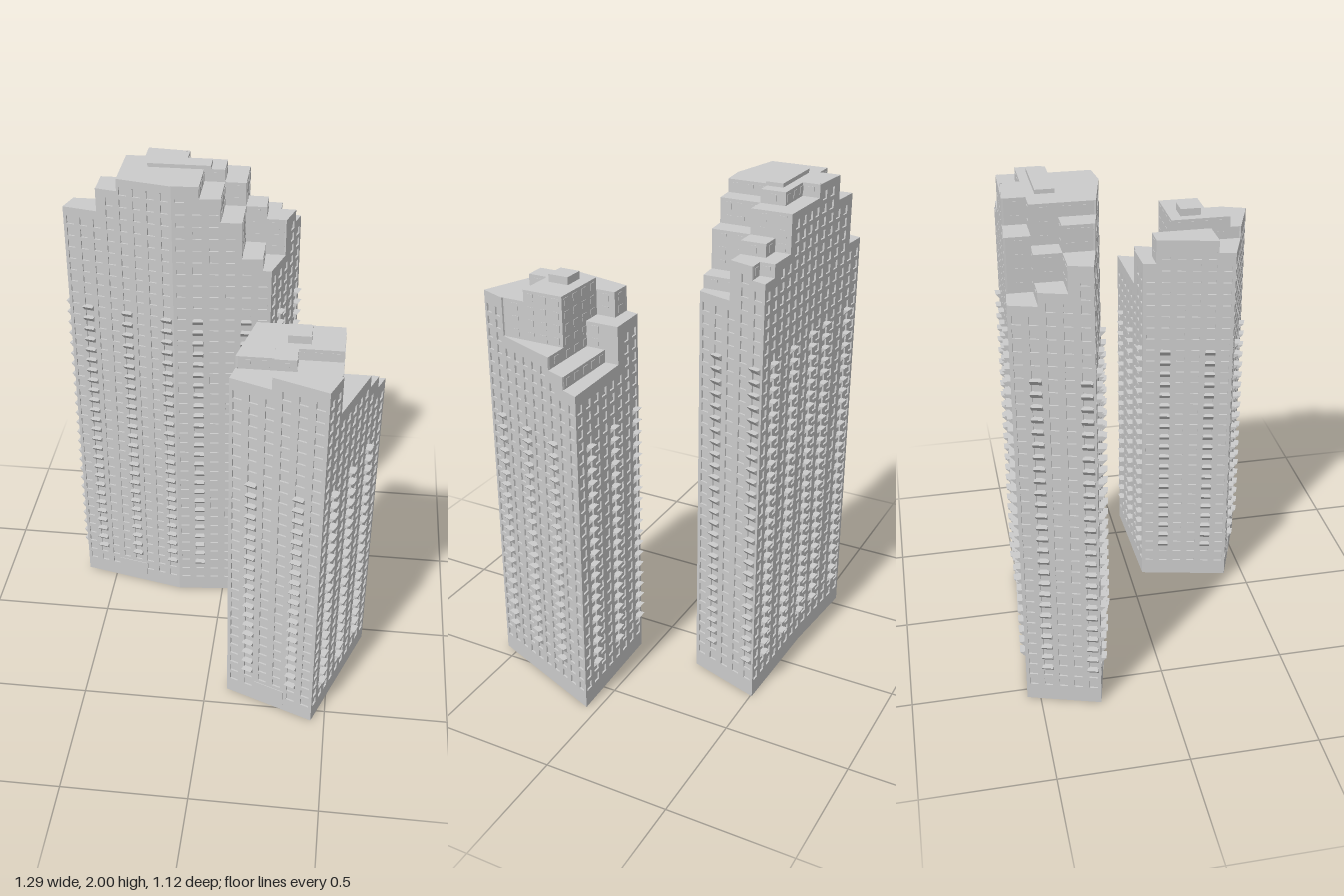
import * as THREE from 'three';
import { mergeGeometries } from 'three/addons/utils/BufferGeometryUtils.js';

const mat = new THREE.MeshStandardMaterial({ color: 0xcccccc, flatShading: true });
const FLOOR = 0.05, FIRST = 0.07, WIN_H = 0.033, RECESS = 0.007, SKIN = 0.009;

// footprint: [x, z] corners, front first; roof: rows [zMin, zMax, [[xMax, height], ...]]
const backTower = {
  name: 'backTower', balconyFloors: 27, doorSide: 0,
  footprint: [[-0.633, -0.27], [-0.196, -0.177], [0.185, -0.211], [0.276, -0.506], [-0.18, -0.519], [-0.546, -0.551]],
  columns: [8, 6, 5, 8, 6, 5],
  roof: [
    [-0.352, 9, [[-0.494, 1.84], [-0.41, 1.935], [-0.092, 1.985], [-0.012, 1.935], [0.07, 1.84], [0.15, 1.69], [9, 1.64]]],
    [-0.45, -0.352, [[-0.494, 1.74], [-0.41, 1.84], [-0.012, 1.985], [0.07, 1.935], [0.15, 1.84], [9, 1.79]]],
    [-9, -0.45, [[-0.45, 1.69], [-0.334, 1.89], [-0.168, 1.985], [0.07, 1.935], [0.2, 1.79], [9, 1.74]]],
  ],
  cap: [-0.31, -0.066, -0.416, -0.347, 1.985, 2.0],
};
const frontTower = {
  name: 'frontTower', balconyFloors: 21, doorSide: 0,
  footprint: [[0.088, 0.419], [0.445, 0.555], [0.643, 0.045], [0.168, 0.059]],
  columns: [6, 10, 8, 6],
  roof: [
    [0.433, 9, [[0.244, 1.55], [0.483, 1.6], [9, 1.45]]],
    [0.354, 0.433, [[0.244, 1.55], [0.324, 1.645], [0.483, 1.6], [9, 1.45]]],
    [0.19, 0.354, [[0.244, 1.6], [0.483, 1.645], [9, 1.45]]],
    [0.111, 0.19, [[0.244, 1.6], [0.324, 1.5], [9, 1.4]]],
    [-9, 0.111, [[0.324, 1.5], [9, 1.35]]],
  ],
  cap: [0.283, 0.366, 0.236, 0.319, 1.645, 1.675],
};

function addMesh(group, geometry, name) {
  const mesh = new THREE.Mesh(geometry, mat);
  mesh.name = name;
  group.add(mesh);
  return mesh;
}

function box(x0, x1, y0, y1, z0, z1) {
  return new THREE.BoxGeometry(x1 - x0, y1 - y0, z1 - z0)
    .translate((x0 + x1) / 2, (y0 + y1) / 2, (z0 + z1) / 2);
}

function heightAt(roof, x, z) {
  const row = roof.find(([z0, z1]) => z >= z0 && z < z1);
  return row[2].find(([xMax]) => x < xMax)[1];
}

// Keep the part of a polygon where sign * p[axis] <= sign * limit
function clip(poly, axis, limit, sign) {
  const out = [];
  poly.forEach((a, i) => {
    const b = poly[(i + 1) % poly.length];
    const da = sign * (a[axis] - limit), db = sign * (b[axis] - limit);
    if (da <= 0) out.push(a);
    if (da * db < 0) {
      const t = da / (da - db);
      out.push([a[0] + (b[0] - a[0]) * t, a[1] + (b[1] - a[1]) * t]);
    }
  });
  return out;
}

// Direction, outward normal and length of a footprint side
function side(poly, i) {
  const a = poly[i], b = poly[(i + 1) % poly.length];
  const L = Math.hypot(b[0] - a[0], b[1] - a[1]);
  const dx = (b[0] - a[0]) / L, dz = (b[1] - a[1]) / L;
  return { a, b, L, dx, dz, nx: -dz, nz: dx };
}

// Move every side inwards by d
function inset(poly, d) {
  return poly.map((p, i) => {
    const u = side(poly, (i + poly.length - 1) % poly.length), v = side(poly, i);
    const k = d / (1 + u.nx * v.nx + u.nz * v.nz);
    return [p[0] - k * (u.nx + v.nx), p[1] - k * (u.nz + v.nz)];
  });
}

function prism(poly, height) {
  const shape = new THREE.Shape(poly.map(([x, z]) => new THREE.Vector2(x, -z)));
  return new THREE.ExtrudeGeometry(shape, { depth: height, bevelEnabled: false }).rotateX(-Math.PI / 2);
}

// Balcony: flat top with a sloping underside
function balcony(s, y, w) {
  const shape = new THREE.Shape([[0, -0.022], [0.02, 0], [0, 0]].map(p => new THREE.Vector2(...p)));
  return new THREE.ExtrudeGeometry(shape, { depth: w, bevelEnabled: false })
    .rotateY(-Math.PI / 2).translate(s + w / 2, y, 0);
}

function buildFacade(t, i) {
  const { a, L, dx, dz, nx, nz } = side(t.footprint, i);
  const facade = new THREE.Group();
  facade.name = 'facade' + (i + 1);
  facade.position.set(a[0], 0, a[1]);
  facade.rotation.y = Math.atan2(-dz, dx);
  const top = s => heightAt(t.roof, a[0] + dx * s - nx * 0.004, a[1] + dz * s - nz * 0.004);

  // Stepped wall outline
  const outline = [[0, 0], [L, 0]], N = 300;
  let h = top(L);
  outline.push([L, h]);
  for (let k = N - 1; k >= 0; k--) {
    const s = L * (k + 0.5) / N, next = top(s);
    if (next !== h) {
      outline.push([s, h], [s, next]);
      h = next;
    }
  }
  outline.push([0, h]);
  const wall = new THREE.Shape(outline.map(p => new THREE.Vector2(...p)));

  // Window openings, with a balcony on every third column
  const pitch = L / t.columns[i], w = pitch * 0.55, balconies = [];
  const hasDoor = i === t.doorSide;
  for (let c = 0; c < t.columns[i]; c++) {
    const s = (c + 0.5) * pitch, x0 = s - w / 2, x1 = s + w / 2;
    const limit = Math.min(top(x0 - 0.004), top(x1 + 0.004)) - 0.008;
    for (let k = 0; FIRST + k * FLOOR + WIN_H < limit; k++) {
      const y = FIRST + k * FLOOR;
      if (hasDoor && k === 0 && Math.abs(s - L / 2) < 0.066 + w / 2) continue;
      wall.holes.push(new THREE.Path([[x0, y], [x0, y + WIN_H], [x1, y + WIN_H], [x1, y]]
        .map(p => new THREE.Vector2(...p))));
      if (c % 3 === 1 && k >= 2 && k <= t.balconyFloors) balconies.push(balcony(s, y, 0.042));
    }
  }
  const skin = new THREE.ExtrudeGeometry(wall, { depth: SKIN, bevelEnabled: false }).translate(0, 0, -SKIN);
  // Mitre the inner face at the corners
  const p = skin.attributes.position;
  for (let v = 0; v < p.count; v++) {
    if (p.getZ(v) < -SKIN / 2) p.setX(v, THREE.MathUtils.clamp(p.getX(v), 0.004, L - 0.004));
  }
  skin.computeVertexNormals();
  addMesh(facade, skin, 'windowWall');
  if (balconies.length) addMesh(facade, mergeGeometries(balconies), 'balconies');
  if (hasDoor) addMesh(facade, box(L / 2 - 0.065, L / 2 + 0.065, 0.03, 0.105, -SKIN, 0.003), 'entrance');
  return facade;
}

function buildTower(t) {
  const tower = new THREE.Group();
  tower.name = t.name;
  const core = inset(t.footprint, RECESS), blocks = [], panes = [];

  // Roof blocks of different heights
  for (const [z0, z1, cells] of t.roof) {
    let x0 = -9;
    for (const [x1, h] of cells) {
      let poly = clip(clip(core, 0, x0, -1), 0, x1, 1);
      poly = clip(clip(poly, 1, z0, -1), 1, z1, 1);
      x0 = x1;
      if (poly.length < 3) continue;
      blocks.push(prism(poly, h));
      // Windows on the walls above lower terraces
      poly.forEach((_, i) => {
        const e = side(poly, i);
        if (Math.abs(e.dx) < 0.9999 && Math.abs(e.dz) < 0.9999) return;
        const n = Math.floor(e.L / 0.05);
        for (let c = 0; c < n; c++) {
          const s = (c + 0.5) * e.L / n, x = e.a[0] + e.dx * s, z = e.a[1] + e.dz * s;
          const low = heightAt(t.roof, x + e.nx * 0.01, z + e.nz * 0.01);
          for (let y = h - 0.042; y > low; y -= FLOOR) {
            panes.push(new THREE.BoxGeometry(0.028, WIN_H - 0.005, 0.004)
              .rotateY(Math.atan2(-e.dz, e.dx)).translate(x, y + WIN_H / 2, z));
          }
        }
      });
    }
  }
  addMesh(tower, mergeGeometries(blocks), 'terracedCore');
  if (panes.length) addMesh(tower, mergeGeometries(panes), 'terraceWindows');
  t.footprint.forEach((_, i) => tower.add(buildFacade(t, i)));

  const [x0, x1, z0, z1, y0, y1] = t.cap;
  addMesh(tower, box(x0, x1, y0 - 0.01, y1, z0, z1), 'roofCap');
  return tower;
}

export function createModel() {
  const model = new THREE.Group();
  model.name = 'twinTowers';
  model.add(buildTower(backTower), buildTower(frontTower));
  return model;
}
